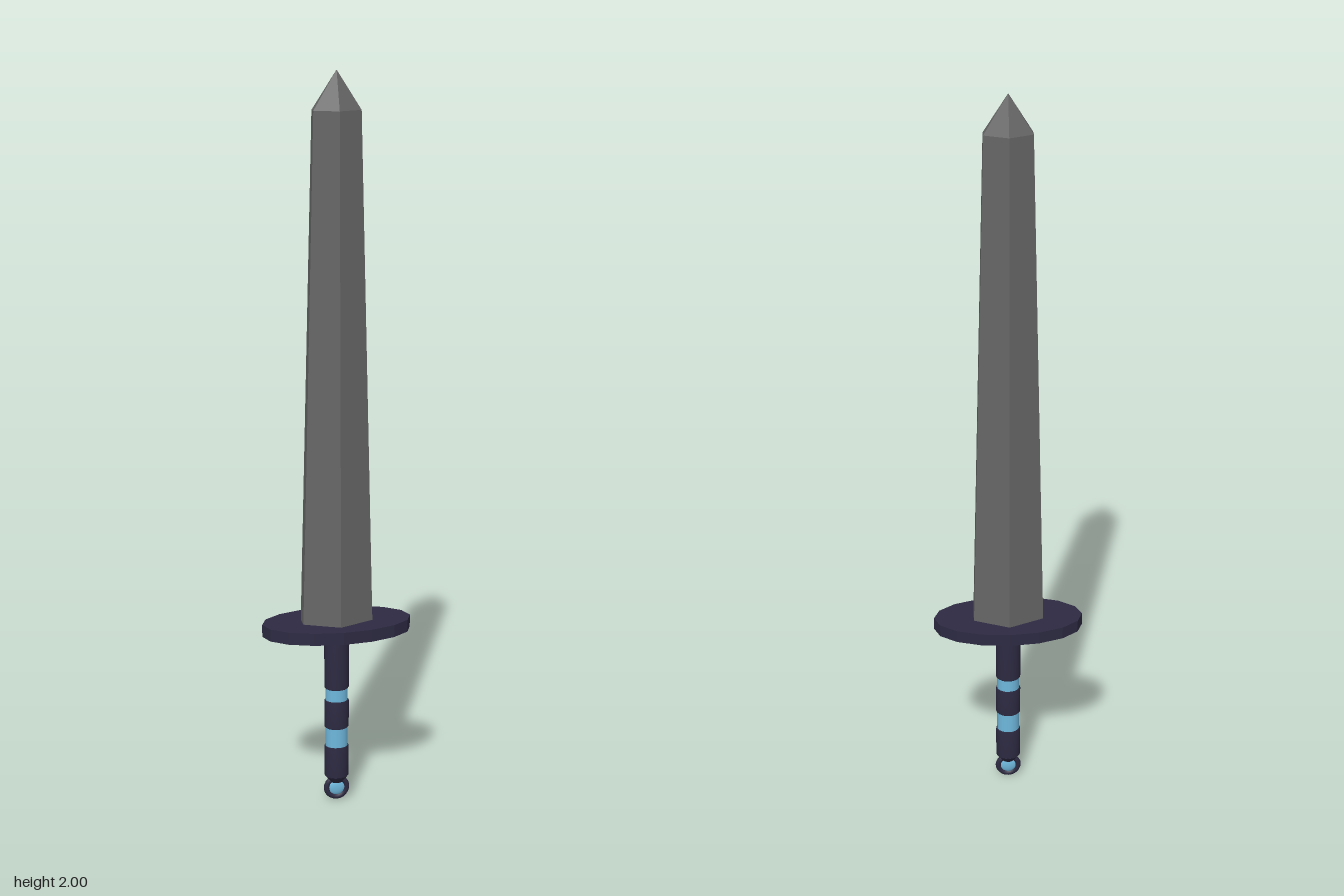
import * as THREE from 'three';

const mat = (color, flatShading = false) => new THREE.MeshStandardMaterial({ color, flatShading });

// Six-sided blade: cross-sections joined in loops, with a ridge on front and back
function bladeGeometry() {
  const sections = [ // y, half width, edge half depth, ridge half depth
    [0.53, 0.095, 0.02, 0.063],
    [1.9, 0.062, 0.013, 0.041],
    [2.0, 0, 0, 0],
  ];
  const ring = ([y, w, e, r]) =>
    [[w, e], [w, -e], [0, -r], [-w, -e], [-w, e], [0, r]].map(([x, z]) => [x, y, z]);
  const rings = sections.map(ring);
  const pos = [];
  for (let s = 0; s < 2; s++) {
    for (let i = 0; i < 6; i++) {
      const j = (i + 1) % 6;
      const [a, b, c, d] = [rings[s][i], rings[s][j], rings[s + 1][j], rings[s + 1][i]];
      pos.push(...a, ...b, ...c);
      if (s === 0) pos.push(...a, ...c, ...d);
    }
  }
  // closing face at the base
  for (let i = 1; i < 5; i++) pos.push(...rings[0][0], ...rings[0][i + 1], ...rings[0][i]);
  const g = new THREE.BufferGeometry();
  g.setAttribute('position', new THREE.Float32BufferAttribute(pos, 3));
  g.computeVertexNormals();
  return g;
}

export function createModel() {
  const group = new THREE.Group();
  const steel = mat(0x666666, true);
  const dark = mat(0x2d2a42);
  const darkFlat = mat(0x2d2a42, true);
  const blue = mat(0x6fb8dd);

  const add = (name, geometry, material, y = 0) => {
    const m = new THREE.Mesh(geometry, material);
    m.name = name;
    m.position.y = y;
    group.add(m);
    return m;
  };

  add('blade', bladeGeometry(), steel);

  // Oval guard
  const guard = add('guard', new THREE.CylinderGeometry(0.102, 0.102, 0.034, 16), darkFlat, 0.517);
  guard.scale.x = 2;

  // Grip sections with slimmer bands between them
  const depth = 0.88;
  const grips = [[0.335, 0.505], [0.22, 0.305], [0.075, 0.17]];
  grips.forEach(([y0, y1], i) => {
    const r = 0.034, c = 0.005;
    const profile = [[0, y0], [r - c, y0], [r, y0 + c], [r, y1 - c], [r - c, y1], [0, y1]]
      .map(([x, y]) => new THREE.Vector2(x, y));
    add('grip' + (i + 1), new THREE.LatheGeometry(profile, 20), dark).scale.z = depth;
  });
  [[0.3, 0.34], [0.165, 0.225]].forEach(([y0, y1], i) => {
    add('gripBand' + (i + 1), new THREE.CylinderGeometry(0.031, 0.031, y1 - y0, 20), blue, (y0 + y1) / 2)
      .scale.z = depth;
  });

  // Tapered end of the grip
  add('gripEnd', new THREE.CylinderGeometry(0.032, 0.016, 0.02, 20), dark, 0.067).scale.z = depth;

  // Pommel ring holding a flat gem
  add('pommelRing', new THREE.TorusGeometry(0.028, 0.008, 8, 24), dark, 0.04);
  add('pommelGem', new THREE.SphereGeometry(0.024, 20, 12), blue, 0.04).scale.z = 0.35;

  return group;
}
